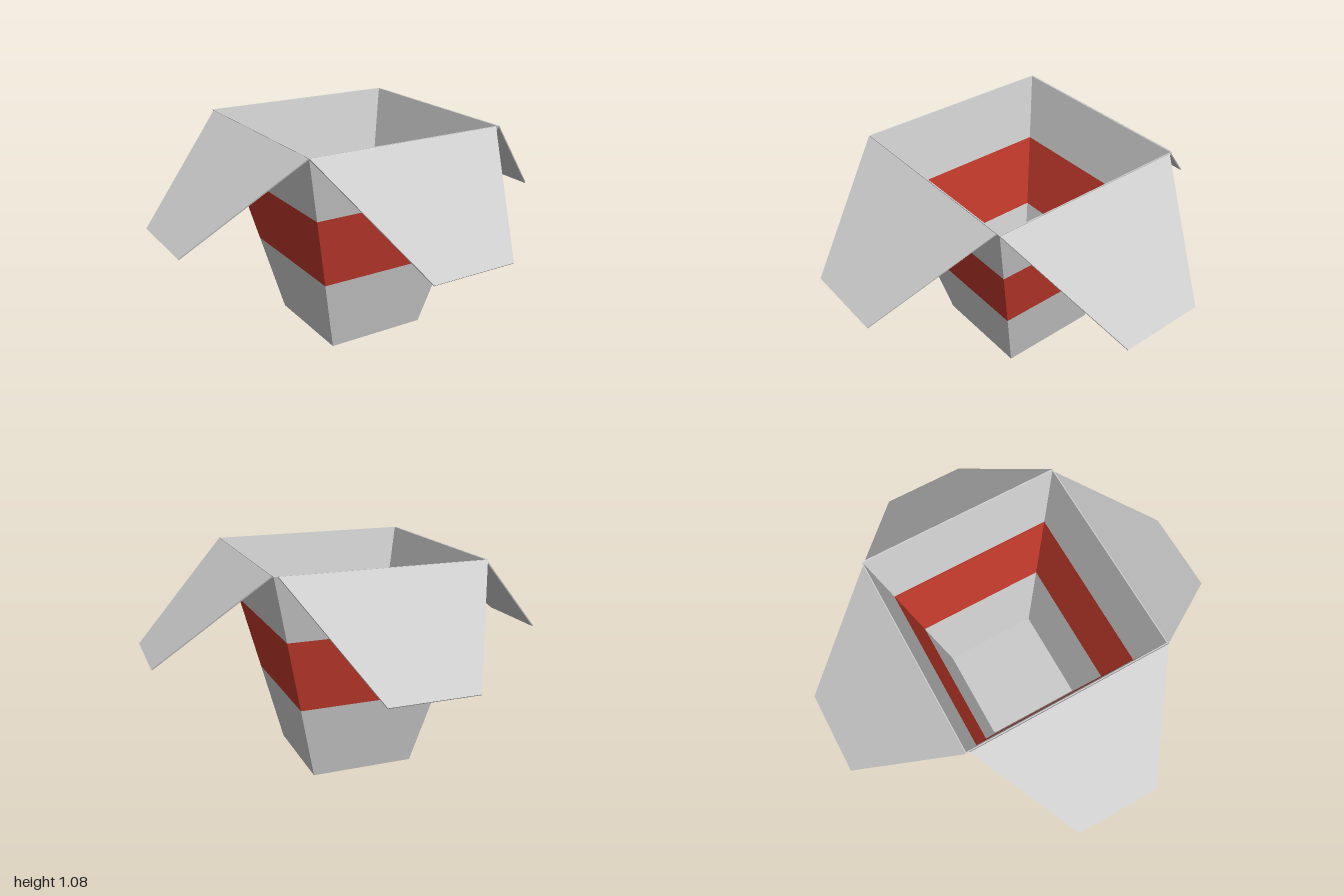
import * as THREE from 'three';

const grey = new THREE.MeshStandardMaterial({ color: 0xcccccc, flatShading: true });
const red = new THREE.MeshStandardMaterial({ color: 0xc0392b, flatShading: true });

const HEIGHT = 1.075, BASE = 0.26, RIM = 0.51, THICK = 0.006;
const halfWidth = (y) => BASE + (RIM - BASE) * y / HEIGHT;

// Four-sided lathe: the profile gives half widths of the square section
function squareLathe(name, profile, material) {
  const points = profile.map(([w, y]) => new THREE.Vector2(w * Math.SQRT2, y));
  const geometry = new THREE.LatheGeometry(points, 4, Math.PI / 4).toNonIndexed();
  geometry.computeVertexNormals();
  const mesh = new THREE.Mesh(geometry, material);
  mesh.name = name;
  return mesh;
}

// Thin tapered wall between two heights, outside up and inside down
function wall(y0, y1) {
  return [
    [halfWidth(y0), y0], [halfWidth(y1), y1],
    [halfWidth(y1) - THICK, y1], [halfWidth(y0) - THICK, y0],
  ];
}

// Trapezoid flap hinged on the rim and sloping outward
function flapGeometry() {
  const drop = 0.447, reach = 0.487;
  const length = Math.hypot(drop, reach);
  const shape = new THREE.Shape([
    new THREE.Vector2(-0.5, 0), new THREE.Vector2(0.5, 0),
    new THREE.Vector2(0.21, length), new THREE.Vector2(-0.21, length),
  ]);
  return new THREE.ExtrudeGeometry(shape, { depth: THICK, bevelEnabled: false })
    .rotateX(Math.PI / 2 + Math.atan2(reach, drop) - Math.PI / 2 + Math.atan2(drop, reach) * 2);
}

export function createModel() {
  const group = new THREE.Group();
  group.name = 'openBox';

  // Tapered container in three bands; the lowest carries the floor
  group.add(squareLathe('lowerBody',
    [[0, 0], ...wall(0, 0.39).slice(0, 3), [BASE - THICK, THICK], [0, THICK]], grey));
  group.add(squareLathe('redBand', wall(0.39, 0.755), red));
  group.add(squareLathe('upperBody', wall(0.755, HEIGHT), grey));

  // Four open flaps, each set slightly to one side of its hinge
  const geometry = flapGeometry();
  ['frontFlap', 'leftFlap', 'backFlap', 'rightFlap'].forEach((name, i) => {
    const flap = new THREE.Mesh(geometry, grey);
    flap.name = name;
    flap.position.set(i < 2 ? -0.01 : 0.01, HEIGHT, RIM + 0.003);
    const hinge = new THREE.Group();
    hinge.name = name + 'Hinge';
    hinge.rotation.y = i * Math.PI / 2;
    hinge.add(flap);
    group.add(hinge);
  });
  return group;
}
